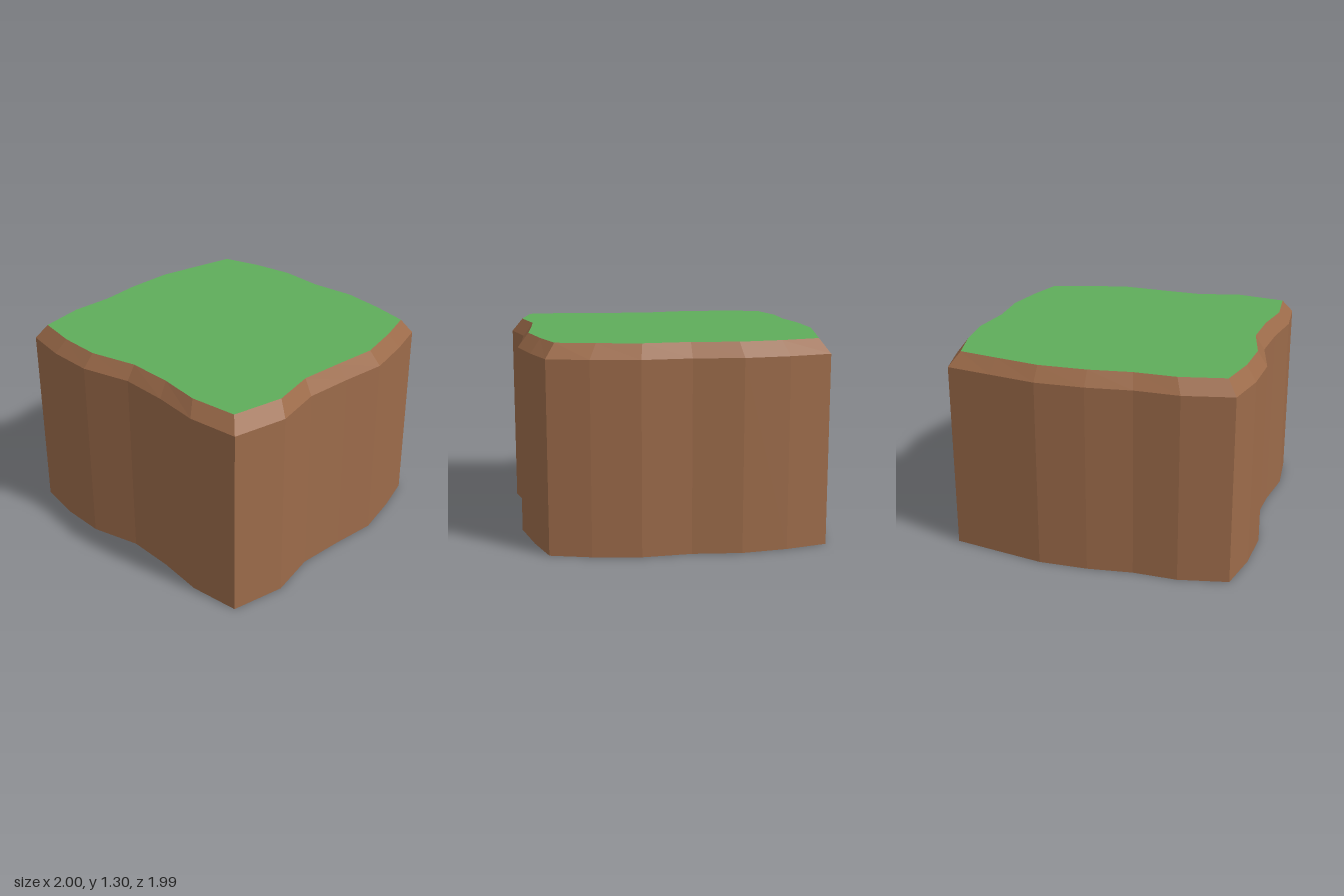
import * as THREE from 'three';

// Plan outlines as [x, z], running from the back left corner around the block
const OUTER = [
  [-0.88, -0.91], [-0.61, -0.97], [-0.32, -1], [-0.01, -0.965], [0.3, -0.98], [0.6, -0.93],
  [0.855, -0.855], [0.93, -0.6], [0.995, -0.295], [0.96, 0], [0.935, 0.31], [1, 0.625],
  [0.925, 0.97], [0.6, 0.99], [0.3, 0.94], [-0.01, 0.915], [-0.335, 0.985], [-0.635, 0.965],
  [-0.92, 0.9], [-0.98, 0.585], [-0.97, 0.3], [-1, 0.01], [-1, -0.305], [-0.94, -0.61],
];
const INNER = [
  [-0.82, -0.845], [-0.57, -0.905], [-0.3, -0.935], [-0.01, -0.9], [0.285, -0.915], [0.555, -0.865],
  [0.795, -0.8], [0.865, -0.56], [0.925, -0.28], [0.895, 0.01], [0.87, 0.29], [0.93, 0.58],
  [0.86, 0.905], [0.555, 0.925], [0.285, 0.875], [-0.01, 0.855], [-0.32, 0.92], [-0.595, 0.9],
  [-0.86, 0.84], [-0.915, 0.55], [-0.905, 0.28], [-0.935, 0.01], [-0.935, -0.3], [-0.875, -0.59],
];
const WALL_TOP = 1.21;
const TOP = 1.3;

// Closed band of flat faces between two outlines at two heights
function band(low, lowY, high, highY) {
  const positions = [];
  low.forEach((_, i) => {
    const j = (i + 1) % low.length;
    const at = (ring, k, y) => [ring[k][0], y, ring[k][1]];
    const a = at(low, i, lowY), b = at(low, j, lowY);
    const c = at(high, j, highY), d = at(high, i, highY);
    positions.push(...a, ...d, ...c, ...a, ...c, ...b);
  });
  const geometry = new THREE.BufferGeometry();
  geometry.setAttribute('position', new THREE.Float32BufferAttribute(positions, 3));
  geometry.computeVertexNormals();
  return geometry;
}

export function createModel() {
  const group = new THREE.Group();
  group.name = 'grassBlock';

  const earth = new THREE.MeshStandardMaterial({ color: 0x9c6b4a, side: THREE.DoubleSide, flatShading: true });
  earth.name = 'brown earth';
  const grass = new THREE.MeshStandardMaterial({ color: 0x5fad5b, side: THREE.DoubleSide, flatShading: true });
  grass.name = 'green grass';

  const add = (name, geometry, material) => {
    const mesh = new THREE.Mesh(geometry, material);
    mesh.name = name;
    group.add(mesh);
  };

  // Upright earth walls, open underneath
  add('earthWalls', band(OUTER, 0, OUTER, WALL_TOP), earth);

  // Sloping rim
  add('earthRim', band(OUTER, WALL_TOP, INNER, TOP), earth);

  // Flat grass top
  const shape = new THREE.Shape(INNER.map(([x, z]) => new THREE.Vector2(x, -z)));
  add('grassTop', new THREE.ShapeGeometry(shape).rotateX(-Math.PI / 2).translate(0, TOP, 0), grass);

  return group;
}
